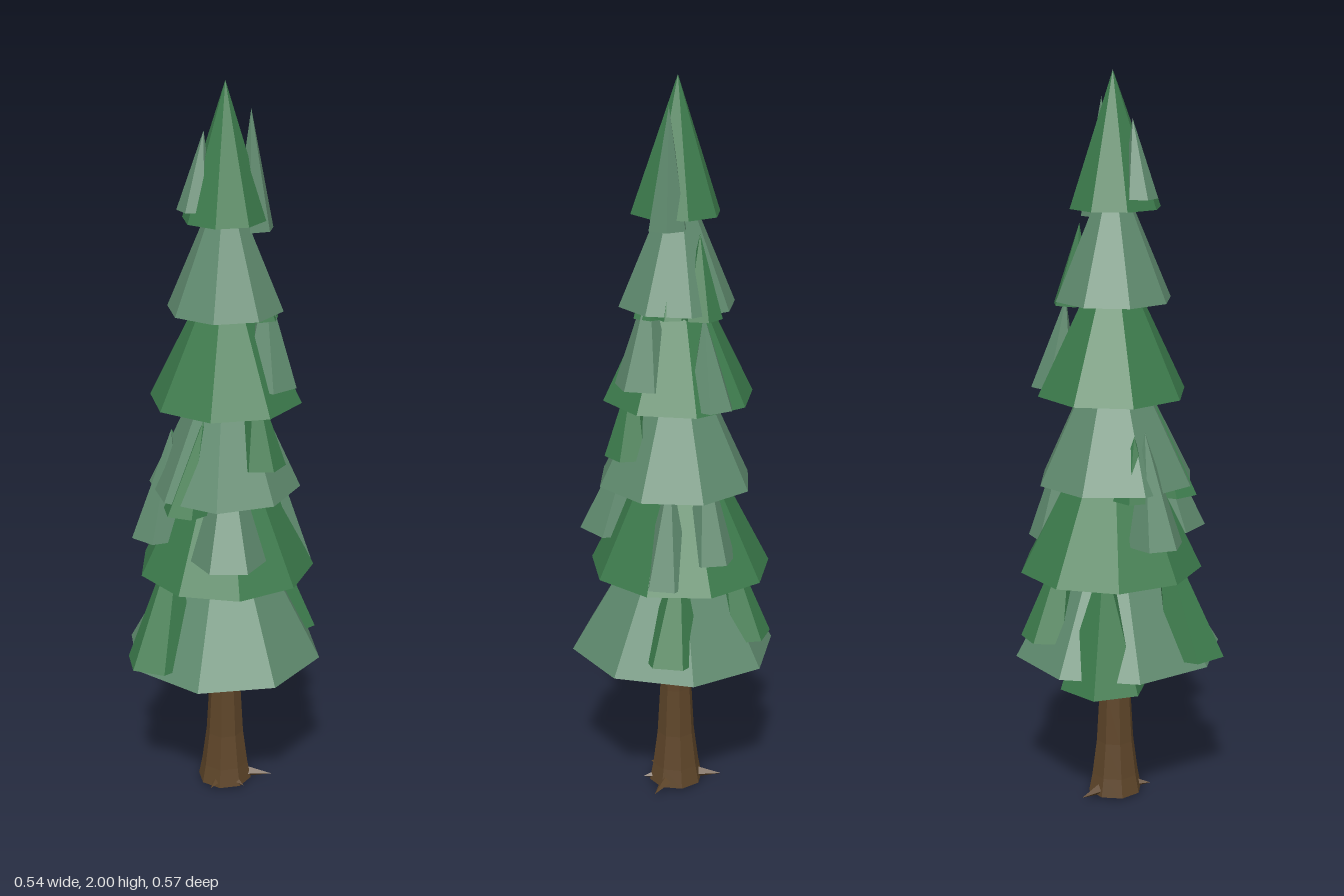
import * as THREE from 'three';

const material = (name, color) => {
  const m = new THREE.MeshStandardMaterial({ color, flatShading: true });
  m.name = name;
  return m;
};

// Closed cone from a base centre to an apex; the apex may lean sideways.
function leaningCone(name, mat, base, apex, rx, rz, sides, turn = 0) {
  const h = apex[1] - base[1];
  const geo = new THREE.ConeGeometry(1, h, sides, 1, false, turn);
  const p = geo.attributes.position;
  for (let i = 0; i < p.count; i++) {
    const t = p.getY(i) / h + 0.5;
    p.setXYZ(i,
      p.getX(i) * rx + base[0] + (apex[0] - base[0]) * t,
      base[1] + h * t,
      p.getZ(i) * rz + base[2] + (apex[2] - base[2]) * t);
  }
  geo.computeVertexNormals();
  const mesh = new THREE.Mesh(geo, mat);
  mesh.name = name;
  return mesh;
}

export function createModel() {
  const tree = new THREE.Group();
  tree.name = 'pineTree';
  const light = material('paleGreen', 0x5f8a6e);
  const dark = material('deepGreen', 0x3c7b4c);
  const bark = material('barkBrown', 0x5e4529);

  // Trunk, flared towards the ground
  const profile = [[0, 0.008], [0.076, 0.008], [0.066, 0.06], [0.053, 0.16], [0.045, 0.3], [0.043, 0.5], [0, 0.5]]
    .map(([r, y]) => new THREE.Vector2(r, y));
  const trunk = new THREE.Mesh(new THREE.LatheGeometry(profile, 8), bark);
  trunk.name = 'trunk';
  trunk.position.set(0.003, 0, -0.012);
  tree.add(trunk);

  // Root spikes: angle, reach, half width
  [[0.1, 0.135, 0.024], [2.08, 0.13, 0.024], [4.5, 0.1, 0.022], [5.5, 0.095, 0.022]].forEach(([a, reach, w]) => {
    const geo = new THREE.ConeGeometry(w, reach - 0.03, 4);
    geo.rotateZ(-Math.PI / 2);
    geo.translate((reach + 0.03) / 2, 0, 0);
    geo.rotateZ(-0.06);
    const root = new THREE.Mesh(geo, bark);
    root.name = 'root';
    root.position.set(0.003, w + 0.003, -0.012);
    root.rotation.y = a;
    tree.add(root);
  });

  // Main tiers: base height, tip height, radius in x and z, centre z, turn, sides
  [
    [0.43, 0.93, 0.272, 0.287, -0.002, -0.06, 8],
    [0.675, 1.17, 0.242, 0.25, -0.025, 0.35, 9],
    [0.92, 1.36, 0.205, 0.217, -0.008, 0.1, 8],
    [1.16, 1.58, 0.206, 0.203, -0.02, 0, 8],
    [1.41, 1.78, 0.155, 0.157, -0.015, 0, 8],
    [1.65, 2.0, 0.112, 0.123, -0.01, 0, 8],
  ].forEach(([y, top, rx, rz, z, turn, sides], i) => {
    tree.add(leaningCone('tier' + (i + 1), i % 2 ? dark : light,
      [0.003, y, z], [0.003, top, -0.017], rx, rz, sides, turn));
  });

  // Side tufts: base centre, apex, radius, colour
  [
    // top tier
    [[0.075, 1.622, -0.03], [0.067, 1.93, -0.03], 0.054, light],
    [[-0.065, 1.68, 0.035], [-0.045, 1.88, 0.022], 0.048, light],
    // fifth tier
    [[0.045, 1.395, -0.115], [0.03, 1.61, -0.1], 0.055, dark],
    [[0.1, 1.395, 0.005], [0.075, 1.59, 0.0], 0.05, dark],
    [[0.1, 1.4, -0.055], [0.075, 1.57, -0.045], 0.045, dark],
    // fourth tier
    [[0.122, 1.215, 0.01], [0.112, 1.5, 0.0], 0.08, light],
    [[0.075, 1.17, -0.16], [0.06, 1.41, -0.13], 0.064, light],
    // third tier
    [[0.115, 1.01, 0.065], [0.095, 1.26, 0.06], 0.066, dark],
    [[-0.07, 0.89, 0.13], [-0.035, 1.13, 0.09], 0.068, dark],
    [[-0.14, 0.9, 0.0], [-0.14, 1.07, 0.0], 0.058, dark],
    // second tier
    [[0.045, 0.765, 0.155], [0.03, 1.1, 0.09], 0.1, light],
    [[0.165, 0.69, -0.08], [0.125, 1.0, -0.07], 0.07, light],
    [[-0.17, 0.78, 0.05], [-0.135, 1.08, 0.03], 0.075, light],
    [[0.08, 0.75, -0.165], [0.06, 1.07, -0.13], 0.068, light],
    // bottom tier
    [[-0.145, 0.455, 0.165], [-0.1, 0.85, 0.075], 0.09, dark],
    [[-0.15, 0.392, -0.085], [-0.13, 0.75, -0.08], 0.122, dark],
    [[-0.03, 0.5, -0.205], [-0.02, 0.82, -0.14], 0.078, dark],
    [[0.165, 0.475, -0.1], [0.11, 0.78, -0.09], 0.082, dark],
  ].forEach(([base, apex, r, mat], i) => {
    tree.add(leaningCone('sideTuft' + (i + 1), mat, base, apex, r, r, 6, i * 0.7));
  });

  return tree;
}
